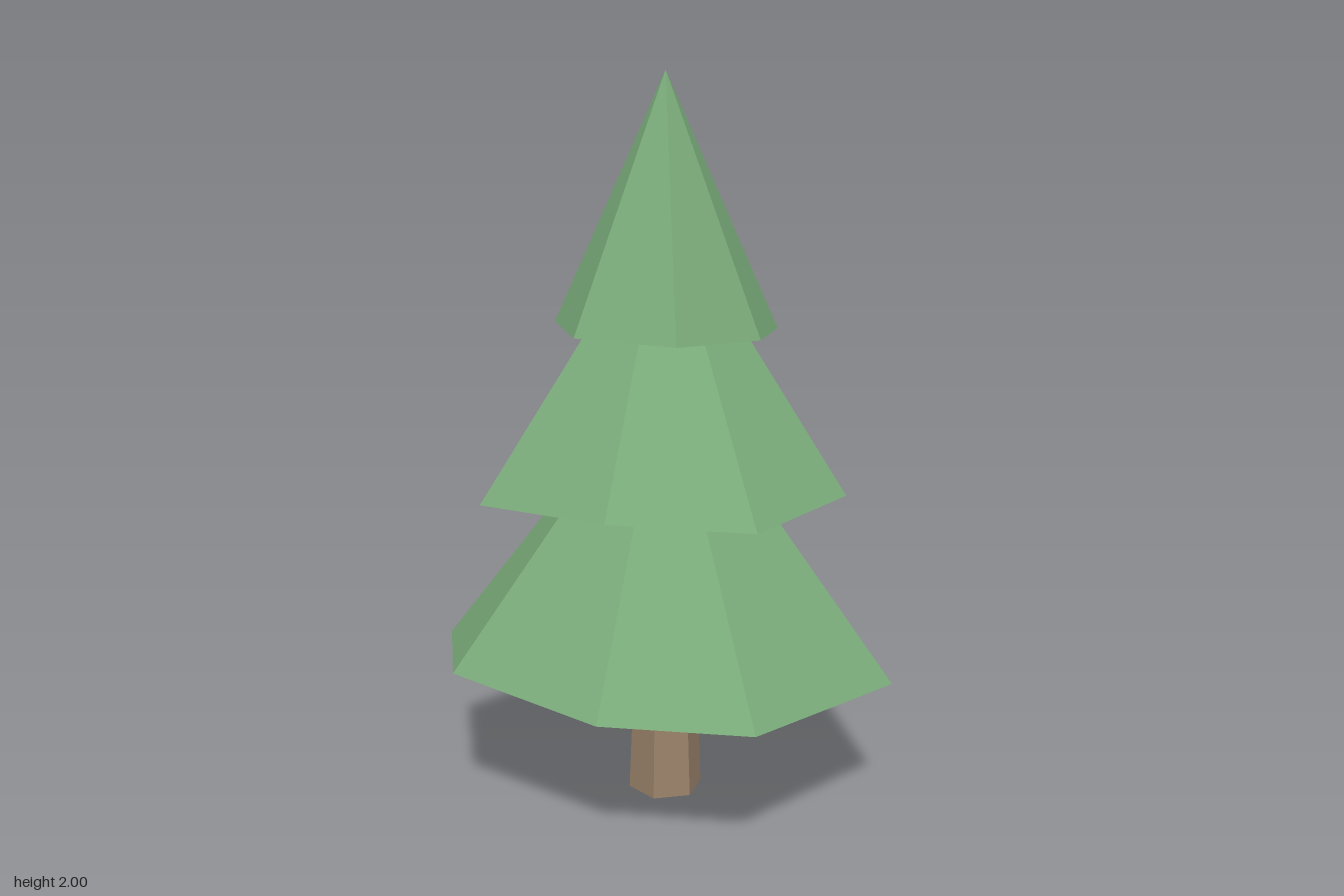
import * as THREE from 'three';

const CX = 0.016, CZ = 0.06; // axis of the tree

// Irregular faceted cone: rim points [x, y, z] run clockwise seen from above
function foliageTier(name, apexY, rim, material) {
  const apex = [CX, apexY, CZ];
  const meanY = rim.reduce((sum, p) => sum + p[1], 0) / rim.length;
  const base = [CX, meanY, CZ];
  const pos = [];
  rim.forEach((a, i) => {
    const b = rim[(i + 1) % rim.length];
    pos.push(...apex, ...b, ...a); // sloping side
    pos.push(...base, ...a, ...b); // underside
  });
  const geo = new THREE.BufferGeometry();
  geo.setAttribute('position', new THREE.Float32BufferAttribute(pos, 3));
  geo.computeVertexNormals();
  const mesh = new THREE.Mesh(geo, material);
  mesh.name = name;
  return mesh;
}

export function createModel() {
  const tree = new THREE.Group();
  tree.name = 'pineTree';

  const needles = new THREE.MeshStandardMaterial({ color: 0x7aab7a, flatShading: true });
  needles.name = 'needleGreen';
  const bark = new THREE.MeshStandardMaterial({ color: 0x9a826a, flatShading: true });
  bark.name = 'barkBrown';

  // Tapered six-sided trunk
  const trunk = new THREE.Mesh(new THREE.CylinderGeometry(0.087, 0.105, 0.42, 6), bark);
  trunk.position.set(CX, 0.21, 0.065);
  trunk.name = 'trunk';
  tree.add(trunk);

  // Three stacked tiers with uneven rims
  tree.add(foliageTier('lowerFoliage', 1.24, [
    [0.016, 0.425, -0.614], [0.43, 0.4, -0.38], [0.66, 0.388, 0.06], [0.405, 0.405, 0.535],
    [0.016, 0.407, 0.605], [-0.445, 0.435, 0.47], [-0.66, 0.383, 0.06], [-0.43, 0.396, -0.425],
  ], needles));
  tree.add(foliageTier('middleFoliage', 1.66, [
    [0.016, 0.875, -0.478], [0.33, 0.905, -0.31], [0.52, 0.902, 0.06], [0.37, 0.88, 0.41],
    [0.016, 0.906, 0.535], [-0.367, 0.897, 0.437], [-0.462, 0.875, 0.06], [-0.29, 0.875, -0.28],
  ], needles));
  tree.add(foliageTier('upperFoliage', 2, [
    [0.016, 1.325, -0.267], [0.275, 1.312, -0.146], [0.3, 1.317, 0.135], [0.15, 1.326, 0.38],
    [-0.133, 1.332, 0.35], [-0.275, 1.343, 0.135], [-0.236, 1.335, -0.153],
  ], needles));

  return tree;
}
